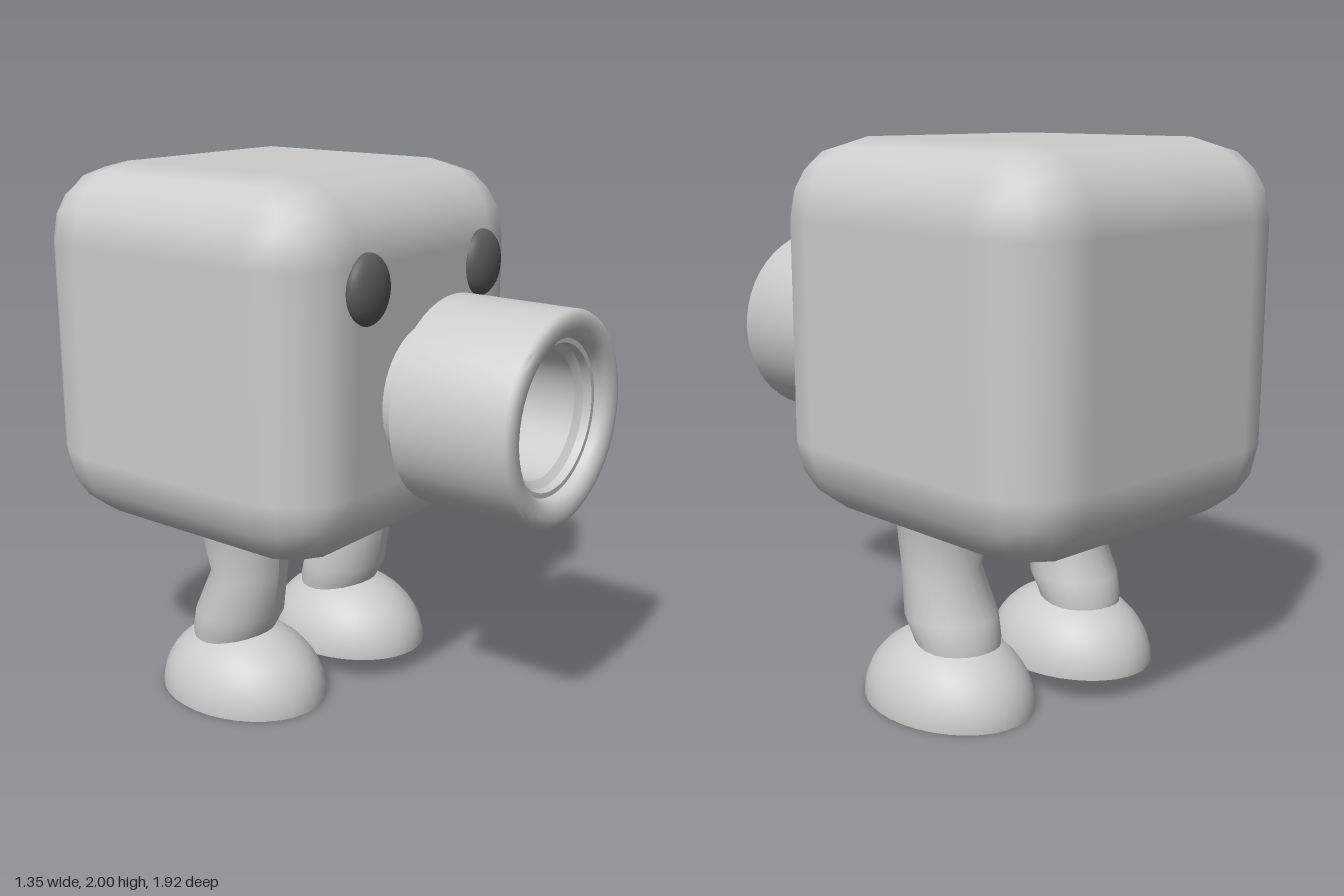
import * as THREE from 'three';
import { RoundedBoxGeometry } from 'three/addons/geometries/RoundedBoxGeometry.js';
import { toCreasedNormals } from 'three/addons/utils/BufferGeometryUtils.js';

const grey = new THREE.MeshStandardMaterial({ color: 0xcccccc });
const greyOpen = new THREE.MeshStandardMaterial({ color: 0xcccccc, side: THREE.DoubleSide });
const dark = new THREE.MeshStandardMaterial({ color: 0x5c5c5c });

function part(name, geometry, material, x, y, z) {
  const mesh = new THREE.Mesh(geometry, material);
  mesh.name = name;
  mesh.position.set(x, y, z);
  return mesh;
}

// Hollow snout: narrow neck, wide barrel with a rounded lip, open bore
function snoutGeometry() {
  const profile = [
    [0.26, 0.34], [0.26, 0.5], [0.372, 0.5], [0.372, 0.94], [0.367, 0.952], [0.355, 0.96],
    [0.335, 0.963], [0.31, 0.96], [0.29, 0.95], [0.278, 0.935], [0.273, 0.91],
    [0.255, 0.91], [0.25, 0.88], [0.225, 0.86], [0.225, 0.34],
  ].map(([r, z]) => new THREE.Vector2(r, z));
  const geometry = new THREE.LatheGeometry(profile, 48);
  geometry.rotateX(Math.PI / 2);
  return toCreasedNormals(geometry, 0.7);
}

// Bent leg: a tube whose rings follow [height, z, radius] sections, top first
function legGeometry() {
  const sections = [
    [0.72, -0.2, 0.176], [0.65, -0.2, 0.168], [0.5, -0.187, 0.145],
    [0.33, -0.24, 0.17], [0.25, -0.272, 0.158], [0.2, -0.28, 0.15],
  ];
  const around = 24;
  const geometry = new THREE.CylinderGeometry(1, 1, 1, around, sections.length - 1, true);
  const pos = geometry.attributes.position;
  for (let i = 0; i < pos.count; i++) {
    const [y, z, r] = sections[Math.floor(i / (around + 1))];
    pos.setXYZ(i, pos.getX(i) * r, y, z + pos.getZ(i) * r);
  }
  geometry.computeVertexNormals();
  return geometry;
}

export function createModel() {
  const model = new THREE.Group();
  model.name = 'blockCreature';

  model.add(part('body', new RoundedBoxGeometry(1.35, 1.35, 1.35, 2, 0.28), grey, 0, 1.325, -0.285));
  model.add(part('snout', snoutGeometry(), greyOpen, 0, 1.22, 0));

  const eye = new THREE.SphereGeometry(1, 32, 20).scale(0.107, 0.123, 0.055);
  const leg = legGeometry();
  // Feet are hollow half domes, open underneath
  const foot = new THREE.SphereGeometry(1, 36, 12, 0, Math.PI * 2, 0, Math.PI / 2).scale(0.28, 0.275, 0.347);

  for (const [side, sign, legX, footX] of [['left', 1, 0.33, 0.335], ['right', -1, -0.318, -0.31]]) {
    model.add(part(side + 'Eye', eye, dark, sign * 0.342, 1.642, 0.385));
    model.add(part(side + 'Leg', leg, greyOpen, legX, 0, 0));
    model.add(part(side + 'Foot', foot, greyOpen, footX, 0, -0.232));
  }
  return model;
}
